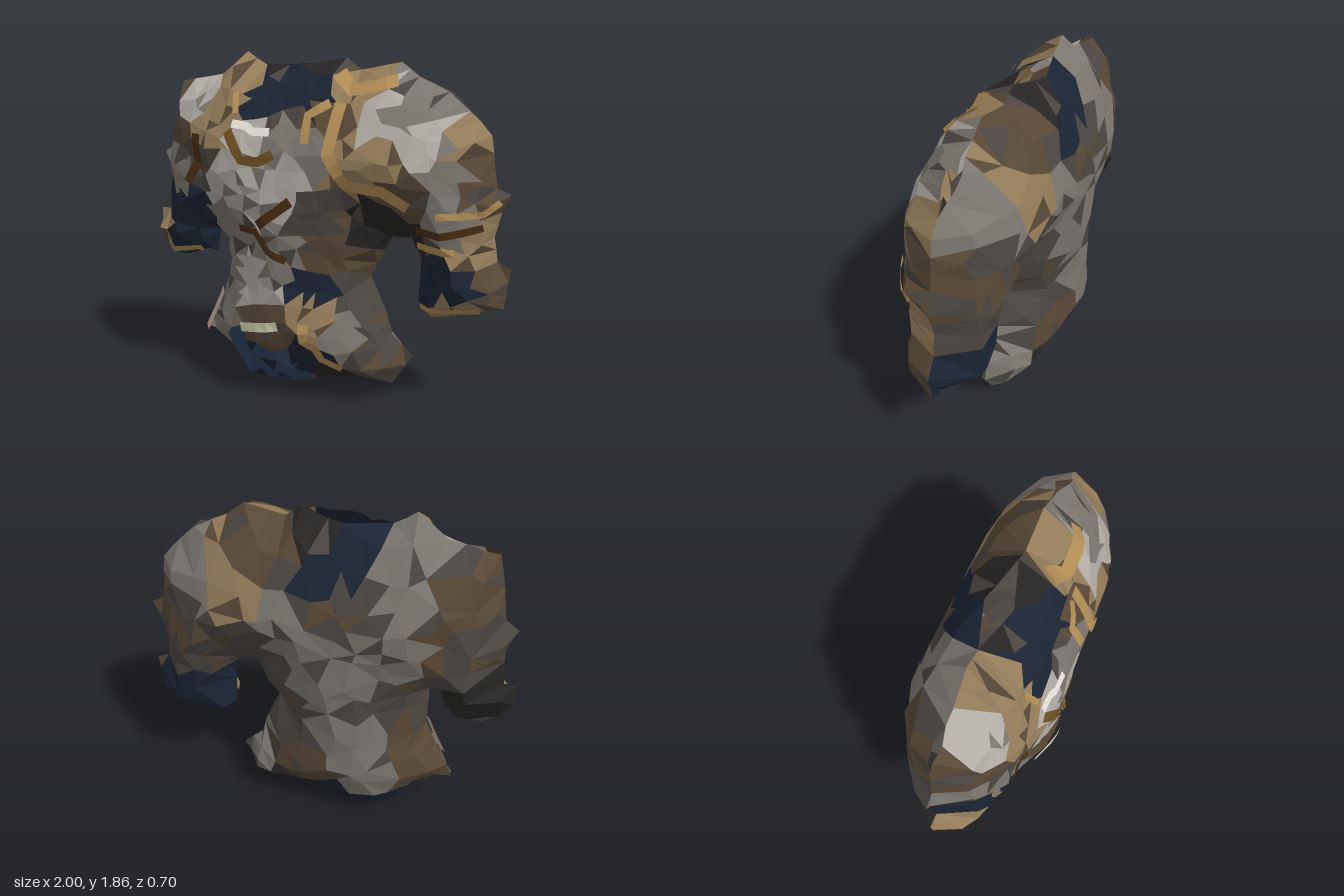
import * as THREE from 'three';

let seed = 7;
const rnd = () => (seed = (seed * 16807) % 2147483647) / 2147483647;
const MID = -0.05, FRONT_DEPTH = .365, BACK_DEPTH = .31;

// Silhouette of the armoured torso, clockwise from the right shoulder tip
const OUTLINE = [
  [-.43, 1.86], [-.32, 1.79], [-.02, 1.8], [.12, 1.83], [.2, 1.77], [.41, 1.81], [.5, 1.74], [.66, 1.67],
  [.81, 1.53], [.87, 1.46], [.91, 1.2], [.98, 1.17], [.94, 1.08], [.91, .95], [.93, .82], [1, .79],
  [.975, .57], [.61, .49], [.53, .57], [.54, .81], [.47, .91], [.38, .91], [.27, .68], [.35, .5],
  [.39, .36], [.51, .25], [.4, .07], [.07, .08], [-.19, .02], [-.42, 0], [-.55, .22], [-.73, .28],
  [-.63, .48], [-.56, .64], [-.56, .87], [-.62, .87], [-.65, .74], [-.71, .75], [-.85, .7], [-.92, .75],
  [-1, .84], [-1, .97], [-.93, .97], [-.91, 1.17], [-.96, 1.3], [-.89, 1.35], [-.86, 1.53], [-.82, 1.7], [-.58, 1.74]];

const COLORS = {
  light: 0xb0aba4, grey: 0x7a756e, dark: 0x4a4540, black: 0x262523,
  tan: 0x927b58, brown: 0x574836, navy: 0x1b2433, blue: 0x2e435f };
const NAMES = {
  light: 'brightPlates', grey: 'greyPlates', dark: 'shadowPlates', black: 'underSuit',
  tan: 'goldTrimPlates', brown: 'bronzePlates', navy: 'navyCloth', blue: 'blueCloth' };
// Neighbouring shade used to vary the facets
const VARY = { light: 'grey', grey: 'dark', dark: 'brown', black: 'dark', tan: 'brown', brown: 'dark', navy: 'navy', blue: 'navy' };

// Colour centres: x, y, colour
const FRONT = [
  [-.12, 1.7, 'navy'], [-.22, 1.64, 'navy'], [.02, 1.66, 'navy'], [-.2, 1.84, 'black'], [.04, 1.83, 'black'],
  [-.12, 1.46, 'grey'], [.1, 1.55, 'brown'],
  [-.43, 1.72, 'tan'], [-.47, 1.5, 'tan'], [-.65, 1.62, 'light'], [-.75, 1.45, 'brown'], [-.75, 1.25, 'grey'],
  [-.8, 1.65, 'brown'], [-.62, 1.3, 'dark'], [-.3, 1.45, 'light'], [-.1, 1.3, 'light'], [-.4, 1.2, 'light'], [-.2, 1.12, 'light'],
  [.06, 1.4, 'grey'], [-.72, 1.02, 'navy'], [-.84, 1.05, 'navy'], [-.92, .88, 'tan'], [-.76, .83, 'navy'],
  [-.45, .95, 'grey'], [-.3, .68, 'light'], [-.15, .85, 'grey'], [-.48, .7, 'grey'], [.1, 1.05, 'dark'],
  [.15, .85, 'brown'], [.3, 1, 'black'], [.42, .98, 'black'], [.08, .68, 'navy'], [.22, .65, 'dark'],
  [.04, .5, 'tan'], [.16, .4, 'grey'], [.3, .3, 'dark'], [.42, .22, 'dark'], [-.6, .4, 'grey'],
  [-.35, .25, 'blue'], [-.2, .15, 'blue'], [0, .3, 'navy'], [.1, .12, 'black'], [-.2, .42, 'brown'],
  [.2, 1.72, 'tan'], [.4, 1.55, 'light'], [.55, 1.6, 'grey'], [.6, 1.45, 'light'], [.38, 1.34, 'tan'],
  [.2, 1.35, 'tan'], [.78, 1.45, 'tan'], [.7, 1.27, 'grey'], [.5, 1.2, 'brown'], [.85, 1.2, 'brown'],
  [.75, 1.03, 'grey'], [.85, .95, 'tan'], [.66, .74, 'navy'], [.78, .7, 'navy'], [.92, .72, 'brown'], [.75, .58, 'tan']];
const BACK = [
  [-.1, 1.65, 'navy'], [-.15, 1.45, 'dark'], [0, 1.8, 'black'], [.3, 1.7, 'brown'], [.45, 1.5, 'tan'], [.65, 1.45, 'grey'],
  [.75, 1.2, 'brown'], [.5, 1.15, 'dark'], [.8, .95, 'dark'], [.75, .7, 'navy'], [.3, 1, 'dark'], [.1, 1.25, 'grey'],
  [-.1, 1, 'grey'], [-.35, 1.2, 'grey'], [-.45, 1.6, 'grey'], [-.65, 1.5, 'brown'], [-.75, 1.2, 'dark'], [-.8, .9, 'black'],
  [-.45, .9, 'dark'], [-.15, .65, 'grey'], [.2, .65, 'dark'], [.35, .3, 'grey'], [.1, .4, 'brown'], [-.55, .4, 'brown'],
  [-.3, .35, 'grey'], [-.3, .14, 'navy'], [0, .15, 'navy'], [.2, .12, 'black']];

function segDist(x, y, a, b) {
  const dx = b[0] - a[0], dy = b[1] - a[1];
  const t = THREE.MathUtils.clamp(((x - a[0]) * dx + (y - a[1]) * dy) / (dx * dx + dy * dy), 0, 1);
  return Math.hypot(x - a[0] - t * dx, y - a[1] - t * dy);
}
const edgeDist = (x, y) => Math.min(...OUTLINE.map((a, i) => segDist(x, y, a, OUTLINE[(i + 1) % OUTLINE.length])));
function inside(x, y) {
  let r = false;
  OUTLINE.forEach((a, i) => {
    const b = OUTLINE[(i + 1) % OUTLINE.length];
    if ((a[1] > y) !== (b[1] > y) && x < a[0] + (y - a[1]) / (b[1] - a[1]) * (b[0] - a[0])) r = !r;
  });
  return r;
}

// Creases where the arms press against the torso
const CREASES = [[[-.6, .87], [-.58, 1.3]], [[.4, .92], [.2, 1.15]]];
// Thickness grows from the rim and levels off over the torso
function bulge(x, y) {
  if (!inside(x, y)) return 0;
  const t = Math.min(edgeDist(x, y) / .42, 1);
  const c = Math.min(...CREASES.map(s => segDist(x, y, ...s)));
  return Math.sqrt(1 - (1 - t) ** 1.12) * (1 - .12 * Math.exp(-((c / .07) ** 2)));
}
// Openings in the seam at neck, hem, shoulders and cuffs: centre, half width, half gap
const GAPS = [[-.1, .22, .07], [.68, .12, .045], [-.77, .07, .035]];
const seamGap = x => Math.max(0, ...GAPS.map(([c, w, h]) => h * (1 - Math.abs(x - c) / w)));

// Incremental Delaunay triangulation, corners counter-clockwise
function delaunay(pts) {
  const p = [...pts, [-60, -50], [60, -50], [0, 70]], n = pts.length;
  const tri = (a, b, c) => {
    const [A, B, C] = [p[a], p[b], p[c]];
    const bx = B[0] - A[0], by = B[1] - A[1], cx = C[0] - A[0], cy = C[1] - A[1];
    const d = 2 * (bx * cy - by * cx), b2 = bx * bx + by * by, c2 = cx * cx + cy * cy;
    const ux = (cy * b2 - by * c2) / d, uy = (bx * c2 - cx * b2) / d;
    return { v: d > 0 ? [a, b, c] : [a, c, b], x: A[0] + ux, y: A[1] + uy, r: ux * ux + uy * uy };
  };
  let tris = [tri(n, n + 1, n + 2)];
  for (let i = 0; i < n; i++) {
    const edges = new Map(), keep = [];
    for (const t of tris) {
      if ((p[i][0] - t.x) ** 2 + (p[i][1] - t.y) ** 2 >= t.r) { keep.push(t); continue; }
      t.v.forEach((a, k) => {
        const b = t.v[(k + 1) % 3];
        if (!edges.delete(b + '_' + a)) edges.set(a + '_' + b, [a, b]);
      });
    }
    for (const [a, b] of edges.values()) keep.push(tri(a, b, i));
    tris = keep;
  }
  return tris.map(t => t.v).filter(v => v.every(k => k < n));
}

function meshFrom(positions, color, name) {
  const g = new THREE.BufferGeometry();
  g.setAttribute('position', new THREE.Float32BufferAttribute(positions, 3));
  g.computeVertexNormals();
  const m = new THREE.Mesh(g, new THREE.MeshStandardMaterial({ color, flatShading: true, side: THREE.DoubleSide }));
  m.name = name;
  return m;
}

// One faceted half of the open shell, split into colour regions
function shell(name, rim, step, depth, sign, seeds) {
  const pts = rim.map(([x, y]) => [x, y, MID + sign * seamGap(x)]);
  for (let gx = -1; gx < 1; gx += step) for (let gy = 0; gy < 1.9; gy += step) {
    const x = gx + (rnd() - .5) * step * .85, y = gy + (rnd() - .5) * step * .85;
    if (inside(x, y) && edgeDist(x, y) > .03)
      pts.push([x, y, MID + sign * (Math.max(depth * bulge(x, y), seamGap(x)) + (rnd() - .5) * .015)]);
  }
  const parts = {};
  for (const v of delaunay(pts)) {
    const [a, b, c] = v.map(k => pts[k]);
    const x = (a[0] + b[0] + c[0]) / 3, y = (a[1] + b[1] + c[1]) / 3;
    if (!inside(x, y)) continue;
    const near = s => Math.hypot(s[0] - x, s[1] - y);
    let key = seeds.reduce((m, s) => near(s) < near(m) ? s : m)[2];
    if (rnd() < .14) key = VARY[key];
    (parts[key] ??= []).push(...a, ...(sign > 0 ? b : c), ...(sign > 0 ? c : b));
  }
  const group = new THREE.Group();
  group.name = name;
  for (const k in parts) group.add(meshFrom(parts[k], COLORS[k], NAMES[k]));
  return group;
}

// Flat ribbon that follows the front of the shell
function ribbon(name, color, width, path) {
  const pts = [];
  path.forEach((a, i) => {
    const b = path[i + 1];
    if (!b) return pts.push(a);
    const n = Math.ceil(Math.hypot(b[0] - a[0], b[1] - a[1]) / .07);
    for (let k = 0; k < n; k++) pts.push([a[0] + (b[0] - a[0]) * k / n, a[1] + (b[1] - a[1]) * k / n]);
  });
  const rows = pts.map((p, i) => {
    const a = pts[Math.max(i - 1, 0)], b = pts[Math.min(i + 1, pts.length - 1)];
    const l = Math.hypot(b[0] - a[0], b[1] - a[1]), nx = -(b[1] - a[1]) / l, ny = (b[0] - a[0]) / l;
    return [1, -1].map(s => {
      const x = p[0] + nx * s * width / 2, y = p[1] + ny * s * width / 2;
      return [x, y, MID + FRONT_DEPTH * bulge(x, y) + .02];
    });
  });
  const pos = [];
  for (let i = 0; i + 1 < rows.length; i++) {
    const [a, b] = rows[i], [c, d] = rows[i + 1];
    pos.push(...b, ...d, ...a, ...d, ...c, ...a);
  }
  return meshFrom(pos, color, name);
}

export function createModel() {
  seed = 7;
  const model = new THREE.Group();
  model.name = 'armouredTorso';

  // Rim points used by both halves
  const rim = [];
  OUTLINE.forEach((a, i) => {
    const b = OUTLINE[(i + 1) % OUTLINE.length], n = Math.ceil(Math.hypot(b[0] - a[0], b[1] - a[1]) / .1);
    for (let k = 0; k < n; k++) {
      const j = k ? (rnd() - .5) * .004 : 0;
      rim.push([a[0] + (b[0] - a[0]) * k / n + j, a[1] + (b[1] - a[1]) * k / n + j]);
    }
  });
  model.add(shell('frontShell', rim, .08, FRONT_DEPTH, 1, FRONT), shell('backShell', rim, .115, BACK_DEPTH, -1, BACK));

  // Trim bands
  const gold = 0xb08c54, bronze = 0x6e5020, umber = 0x4a2e12;
  const trims = [
    ['collarPlate', 0xe8e4dc, .04, [[-.38, 1.51], [-.3, 1.5], [-.26, 1.475], [-.17, 1.475]]],
    ['chestTrim', bronze, .05, [[-.4, 1.475], [-.31, 1.335], [-.22, 1.33], [-.14, 1.37]]],
    ['leftCollarTrim', gold, .045, [[.02, 1.43], [.02, 1.56], [.12, 1.62]]],
    ['rightCollarTrim', gold, .03, [[-.39, 1.66], [-.37, 1.56]]],
    ['shoulderTrim', gold, .06, [[.13, 1.76], [.21, 1.68], [.33, 1.7], [.43, 1.73]]],
    ['shoulderEdge', gold, .06, [[.17, 1.62], [.14, 1.38], [.23, 1.23], [.4, 1.21], [.52, 1.13]]],
    ['upperArmBand', gold, .035, [[.66, 1.1], [.87, 1.1], [.94, 1.15]]],
    ['middleArmBand', umber, .04, [[.55, 1.01], [.68, 1], [.87, 1.03]]],
    ['lowerArmBand', gold, .04, [[.55, .92], [.75, .915]]],
    ['leftCuff', gold, .04, [[.56, .58], [.87, .59]]],
    ['rightCuff', gold, .04, [[-.85, .775], [-.68, .785]]],
    ['rightArmTrim', umber, .05, [[-.59, 1.45], [-.59, 1.3], [-.66, 1.19]]],
    ['rightElbowTrim', 0x857868, .04, [[-.755, 1.27], [-.755, 1.17], [-.74, 1.12]]],
    ['upperBellyTrim', umber, .05, [[-.05, 1.14], [-.24, 1]]],
    ['lowerBellyTrim', umber, .04, [[-.37, .965], [-.26, .965], [-.18, .87], [-.08, .83]]],
    ['beltPlate', 0xd0d0b0, .05, [[-.37, .42], [-.13, .475]]],
    ['rightHipTrim', 0xc0a898, .04, [[-.55, .56], [-.6, .44], [-.66, .32]]],
    ['leftHipTrim', gold, .05, [[0, .49], [0, .39], [.06, .35], [.08, .28], [.18, .225]]]];
  for (const t of trims) model.add(ribbon(...t));
  return model;
}
